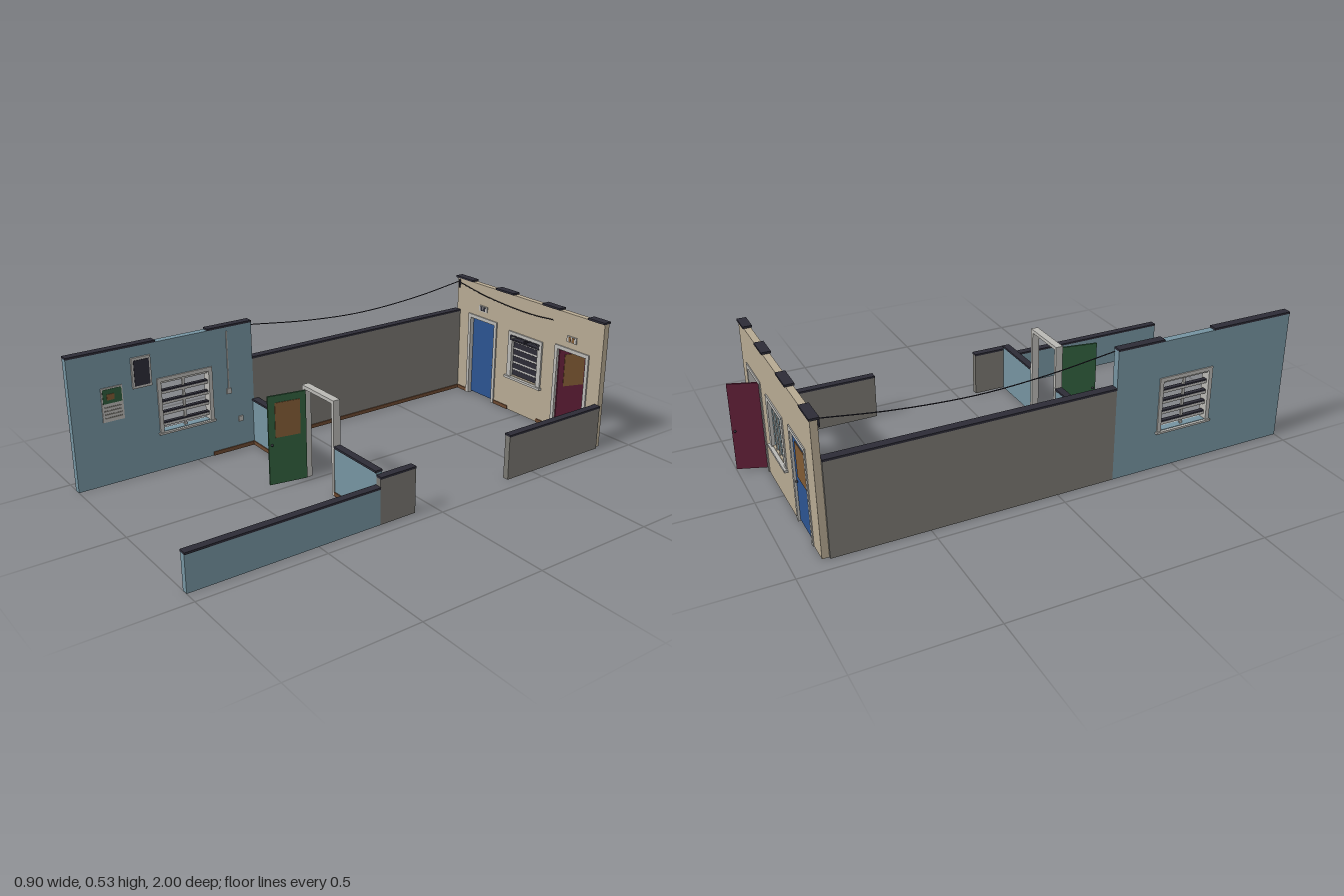
import * as THREE from 'three';

const mat = (name, hex) => {
  const m = new THREE.MeshStandardMaterial({ color: hex });
  m.name = name;
  return m;
};

export function createModel() {
  const root = new THREE.Group();
  root.name = 'roomSet';
  const teal = mat('tealPaint', 0x7593a0), tan = mat('tanPlaster', 0xb6a992), grey = mat('greyPlaster', 0x797771);
  const dark = mat('darkTrim', 0x2c2b36), light = mat('lightFrame', 0xb9b8b4), blue = mat('blueDoor', 0x2b5390);
  const maroon = mat('maroonDoor', 0x621f38), green = mat('greenDoor', 0x2f5c3b);
  const wood = mat('doorPanel', 0x805a34), skirt = mat('skirtingBrown', 0x6b4830);

  // Box given by its limits on each axis
  const box = (name, m, x0, x1, y0, y1, z0, z1, parent = root) => {
    const mesh = new THREE.Mesh(new THREE.BoxGeometry(x1 - x0, y1 - y0, z1 - z0), m);
    mesh.position.set((x0 + x1) / 2, (y0 + y1) / 2, (z0 + z1) / 2);
    mesh.name = name;
    parent.add(mesh);
    return mesh;
  };
  // Wall slab from an outline, with one rectangular window hole
  const slab = (name, m, outline, [a, b, c, d], depth) => {
    const s = new THREE.Shape(outline.map(p => new THREE.Vector2(...p)));
    s.holes.push(new THREE.Path([[a, c], [a, d], [b, d], [b, c]].map(p => new THREE.Vector2(...p))));
    const mesh = new THREE.Mesh(new THREE.ExtrudeGeometry(s, { depth, bevelEnabled: false }), m);
    mesh.name = name;
    root.add(mesh);
    return mesh;
  };

  // Back wall with two doorways and a window
  slab('backWall', tan, [[-0.435, 0], [-0.34, 0], [-0.34, 0.37], [-0.18, 0.37], [-0.18, 0], [0.198, 0],
    [0.198, 0.37], [0.357, 0.37], [0.357, 0], [0.435, 0], [0.435, 0.526], [-0.435, 0.526]],
  [-0.07, 0.09, 0.165, 0.35], 0.026).position.z = -0.891;
  for (const [a, b] of [[-0.445, -0.335], [-0.182, -0.075], [0.098, 0.196], [0.35, 0.437]])
    box('backWallCap', dark, a, b, 0.526, 0.534, -0.896, -0.86);
  for (const [a, b] of [[-0.415, -0.352], [-0.168, -0.08], [0.1, 0.184], [0.37, 0.42]])
    box('backSkirting', skirt, a, b, 0, 0.016, -0.865, -0.861);

  // Left wall: tall front part with a window, low rear part
  const lw = slab('leftFrontWall', teal, [[0.235, 0], [1, 0], [1, 0.526], [0.235, 0.526]], [0.435, 0.64, 0.16, 0.37], 0.03);
  lw.rotation.y = -Math.PI / 2;
  lw.position.x = -0.415;
  for (const [a, b] of [[0.235, 0.43], [0.65, 1]])
    box('leftWallCap', dark, -0.447, -0.413, 0.526, 0.534, a, b);
  box('leftRearWall', grey, -0.445, -0.415, 0, 0.373, -0.865, 0.235);
  box('leftRearCap', dark, -0.447, -0.413, 0.373, 0.381, -0.865, 0.235);
  box('leftSkirting', skirt, -0.415, -0.411, 0, 0.016, -0.861, 0.215);
  box('leftSkirting', skirt, -0.415, -0.411, 0, 0.016, 0.242, 0.43);

  // Low right walls, with an opening between them
  for (const [m, h, a, b] of [[teal, 0.14, 0.24, 1], [grey, 0.178, 0.083, 0.24], [grey, 0.178, -0.865, -0.372]]) {
    box('rightWall', m, 0.42, 0.445, 0, h, a, b);
    box('rightWallCap', dark, 0.417, 0.448, h, h + 0.008, a, b);
  }

  // Low partition beside the inner doorway
  for (const [a, b] of [[-0.415, -0.04], [0.165, 0.42]]) {
    box('partition', teal, a, b, 0, 0.193, 0.216, 0.24);
    box('partitionCap', dark, a, b, 0.193, 0.201, 0.213, 0.243);
    box('partitionSkirting', skirt, a, b, 0, 0.016, 0.24, 0.244);
  }

  // Door frames
  const frame = (name, a, b, h, w, z0, z1) => {
    box(name, light, a, a + w, 0, h, z0, z1);
    box(name, light, b - w, b, 0, h, z0, z1);
    box(name, light, a + w, b - w, h - w, h, z0, z1);
  };
  frame('innerDoorFrame', -0.04, 0.165, 0.38, 0.014, 0.213, 0.243);
  frame('blueDoorFrame', -0.352, -0.168, 0.38, 0.016, -0.895, -0.859);
  frame('maroonDoorFrame', 0.184, 0.37, 0.38, 0.016, -0.895, -0.859);

  // Doors, hung from a hinge, with a panel on one side and a knob on each
  const door = (name, m, x, z, w, angle, side) => {
    const g = new THREE.Group();
    g.name = name;
    box('leaf', m, 0, w, 0.006, 0.365, -0.004, 0.004, g);
    box('panel', wood, 0.025, w - 0.027, 0.197, 0.337, side * 0.005 - 0.0015, side * 0.005 + 0.0015, g);
    for (const s of [-1, 1]) {
      const knob = new THREE.Mesh(new THREE.SphereGeometry(0.005, 10, 8), dark);
      knob.name = 'knob';
      knob.position.set(w - 0.012, 0.17, s * 0.007);
      g.add(knob);
    }
    g.position.set(x, 0, z);
    g.rotation.y = angle;
    root.add(g);
  };
  door('blueDoor', blue, -0.336, -0.882, 0.152, 0, -1);
  door('maroonDoor', maroon, 0.207, -0.865, 0.143, 1.22, 1);
  door('greenDoor', green, -0.018, 0.243, 0.153, -1.74, -1);

  // Back window: frame, sill, louvre panes and top vent
  for (const [a, b, c, d] of [[-0.09, -0.066, 0.16, 0.366], [0.088, 0.112, 0.16, 0.366], [-0.066, 0.088, 0.35, 0.366]])
    box('backWindowFrame', light, a, b, c, d, -0.896, -0.858);
  box('backWindowSill', light, -0.098, 0.118, 0.152, 0.162, -0.905, -0.85);
  for (let i = 0; i < 5; i++) {
    const y = 0.168 + i * 0.0315;
    box('darkLouvre', dark, -0.066, 0.088, y, y + 0.024, -0.874, -0.871);
    box('outerLouvre', teal, -0.066, 0.088, y, y + 0.024, -0.883, -0.88);
    box('louvreBar', light, -0.066, 0.088, y + 0.024, y + 0.0315, -0.882, -0.872);
  }
  for (const x of [-0.03, 0.011, 0.052]) box('outerMullion', light, x - 0.003, x + 0.003, 0.162, 0.35, -0.888, -0.883);
  for (const y of [0.328, 0.346]) box('ventRail', dark, -0.076, 0.098, y, y + 0.006, -0.88, -0.856);
  for (const x of [-0.076, 0.008, 0.092]) box('ventPost', dark, x, x + 0.006, 0.334, 0.346, -0.88, -0.856);

  // Left window: frame, sill, mullion and open bars
  for (const [a, b, c, d] of [[0.42, 0.436, 0.158, 0.38], [0.639, 0.655, 0.158, 0.38], [0.436, 0.639, 0.365, 0.38]])
    box('leftWindowFrame', light, -0.45, -0.409, c, d, a, b);
  box('leftWindowSill', light, -0.456, -0.404, 0.15, 0.158, 0.415, 0.66);
  box('leftMullion', light, -0.434, -0.426, 0.158, 0.365, 0.533, 0.543);
  for (let i = 0; i < 5; i++) {
    const y = 0.178 + i * 0.044;
    box('leftBar', light, -0.438, -0.422, y, y + 0.01, 0.436, 0.639);
    box('leftBarEdge', dark, -0.438, -0.421, y + 0.01, y + 0.016, 0.436, 0.639);
  }

  // Vents above the doors
  for (const [x, m] of [[-0.26, dark], [0.272, wood]]) {
    box('ventPlate', light, x - 0.026, x + 0.026, 0.407, 0.433, -0.866, -0.86);
    for (const s of [-0.009, 0.009]) box('ventSlot', m, x + s - 0.006, x + s + 0.006, 0.41, 0.43, -0.862, -0.859);
  }

  // Fixtures on the left wall: meter box, notice board, conduit, switches
  box('meterBox', light, -0.415, -0.407, 0.362, 0.483, 0.676, 0.754);
  box('meterFace', dark, -0.409, -0.405, 0.372, 0.473, 0.684, 0.746);
  box('noticeBoard', light, -0.415, -0.411, 0.255, 0.39, 0.795, 0.88);
  box('noticeGreen', green, -0.412, -0.409, 0.328, 0.384, 0.8, 0.875);
  box('noticePatch', wood, -0.41, -0.407, 0.342, 0.365, 0.83, 0.86);
  for (let i = 0; i < 4; i++) box('noticeLine', grey, -0.412, -0.41, 0.268 + i * 0.014, 0.273 + i * 0.014, 0.803, 0.872);
  box('conduit', light, -0.415, -0.411, 0.27, 0.51, 0.346, 0.35);
  for (const [y, z] of [[0.25, 0.348], [0.12, 0.3]]) box('switch', light, -0.415, -0.409, y, y + 0.022, z - 0.01, z + 0.01);

  // Sagging cables from the corner bracket
  box('cableBracket', dark, -0.418, -0.413, 0.484, 0.522, -0.86, -0.853);
  const cable = pts => {
    const curve = new THREE.CatmullRomCurve3(pts.map(p => new THREE.Vector3(...p)));
    const mesh = new THREE.Mesh(new THREE.TubeGeometry(curve, 24, 0.002, 6), dark);
    mesh.name = 'cable';
    root.add(mesh);
  };
  cable([[-0.415, 0.51, -0.856], [-0.25, 0.486, -0.856], [-0.08, 0.474, -0.856], [0.06, 0.473, -0.856], [0.17, 0.481, -0.856]]);
  cable([[-0.416, 0.515, -0.856], [-0.416, 0.483, -0.6], [-0.416, 0.468, -0.3], [-0.416, 0.483, -0.03], [-0.416, 0.516, 0.237]]);

  return root;
}
